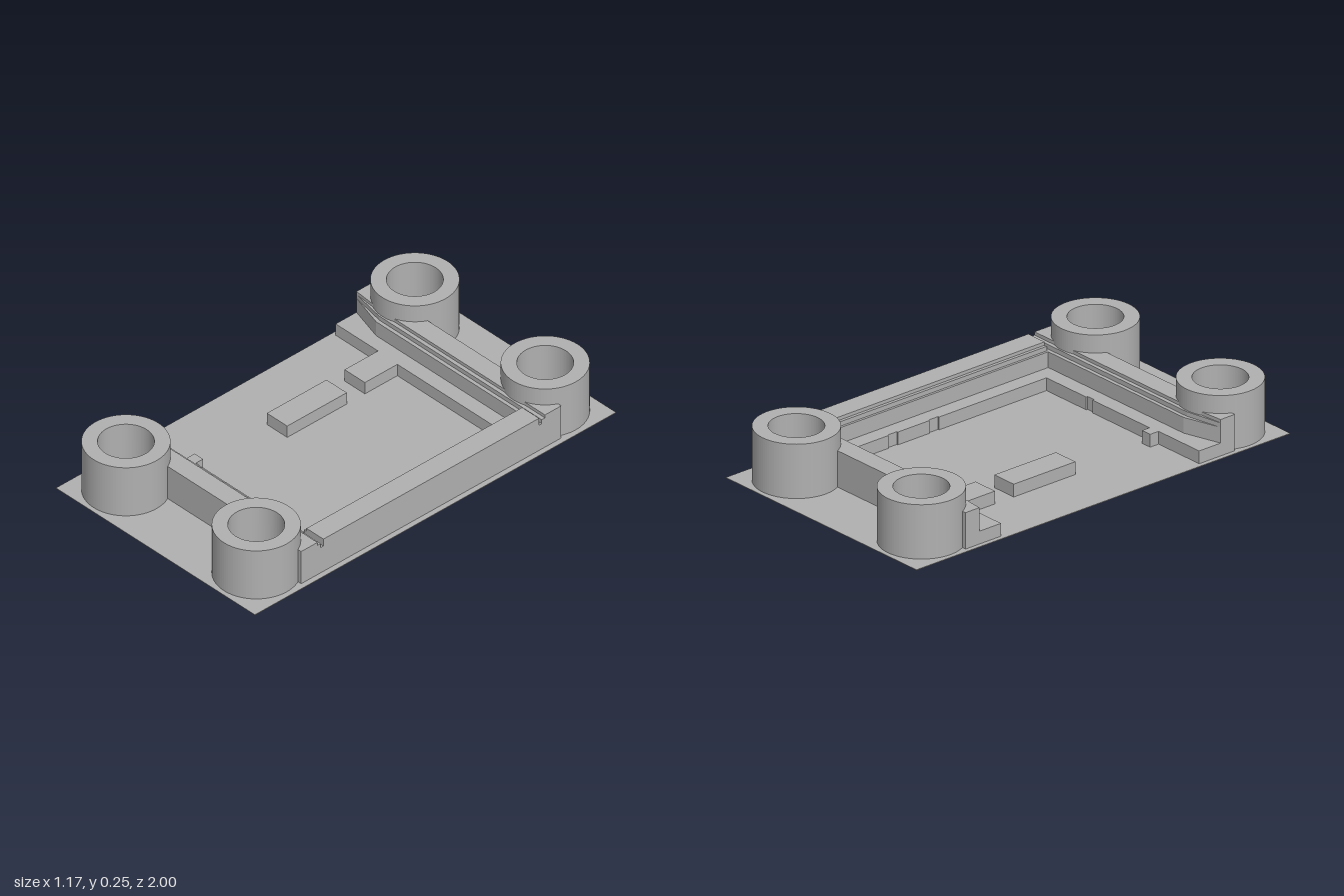
import * as THREE from 'three';

export function createModel() {
  const model = new THREE.Group();
  const grey = new THREE.MeshStandardMaterial({ color: 0xb0b0b0 });
  grey.name = 'plain grey';

  function add(geometry, name) {
    const mesh = new THREE.Mesh(geometry, grey);
    mesh.name = name;
    model.add(mesh);
  }
  // Box given by its limits
  function box(name, x0, x1, y0, y1, z0, z1) {
    const g = new THREE.BoxGeometry(x1 - x0, y1 - y0, z1 - z0);
    add(g.translate((x0 + x1) / 2, (y0 + y1) / 2, (z0 + z1) / 2), name);
  }
  // Floor plan (x, z) raised from y0 to y1
  function raise(name, shape, y0, y1, curveSegments = 12) {
    const g = new THREE.ExtrudeGeometry(shape, { depth: y1 - y0, bevelEnabled: false, curveSegments });
    add(g.rotateX(Math.PI / 2).translate(0, y1, 0), name);
  }

  const left = -0.57, right = 0.56, outer = 0.72;
  const towerX = [0.38, -0.39], towerZ = 0.8, towerR = 0.18, holeR = 0.115;

  // Thin base sheet
  box('basePlate', -0.59, 0.585, 0, 0.003, -1, 1);

  // Four hollow corner towers
  for (const x of towerX) for (const s of [1, -1]) {
    const ring = new THREE.Shape().absarc(x, s * towerZ, towerR, 0, Math.PI * 2, false);
    ring.holes.push(new THREE.Path().absarc(x, s * towerZ, holeR, 0, Math.PI * 2, true));
    raise('cornerTower', ring, 0, 0.245, 48);
  }

  // Low inner shelf, U-shaped, with its tab and small notches
  const shelf = new THREE.Shape([
    [left, 0.65], [left, 0.53], [-0.32, 0.53], [-0.32, 0.485], [-0.27, 0.485], [-0.27, 0.525],
    [0.08, 0.525], [0.08, 0.533], [0.12, 0.533], [0.12, 0.525], [0.365, 0.525],
    [0.365, -0.05], [0.371, -0.05], [0.371, -0.1], [0.365, -0.1],
    [0.365, -0.27], [0.371, -0.27], [0.371, -0.32], [0.365, -0.32],
    [0.365, -0.525], [-0.2, -0.525], [-0.2, -0.345], [-0.32, -0.345], [-0.32, -0.53],
    [left, -0.53], [left, -0.65], [0.5, -0.65], [0.5, 0.65],
  ].map(([x, z]) => new THREE.Vector2(x, z)));
  raise('innerShelf', shelf, 0, 0.06);

  // Free-standing block on the floor
  box('floorBlock', -0.32, -0.2, 0, 0.06, -0.245, 0.085);

  // Stepped walls: [y0, y1, end wall inner z, side wall inner x]
  const steps = [
    [0, 0.13, 0.595, 0.435],
    [0.13, 0.15, 0.612, 0.446],
    [0.15, 0.165, 0.63, 0.46],
  ];
  const a = Math.asin((towerZ - outer) / holeR);
  for (const [y0, y1, inZ, inX] of steps) {
    box('sideWall', inX, right, y0, y1, -0.597, 0.597);
    for (const s of [1, -1]) {
      // Inner edge flares at the open end; outer edge is cut by the tower holes
      const wall = new THREE.Shape();
      wall.moveTo(left, s * 0.645);
      wall.lineTo(-0.4, s * inZ);
      wall.lineTo(right, s * inZ);
      wall.lineTo(right, s * outer);
      for (const x of towerX) {
        wall.absarc(x, s * towerZ, holeR, -s * a, -s * (Math.PI - a), s > 0);
      }
      wall.lineTo(left, s * outer);
      wall.closePath();
      raise('endWall', wall, y0, y1, 16);
    }
  }
  return model;
}
